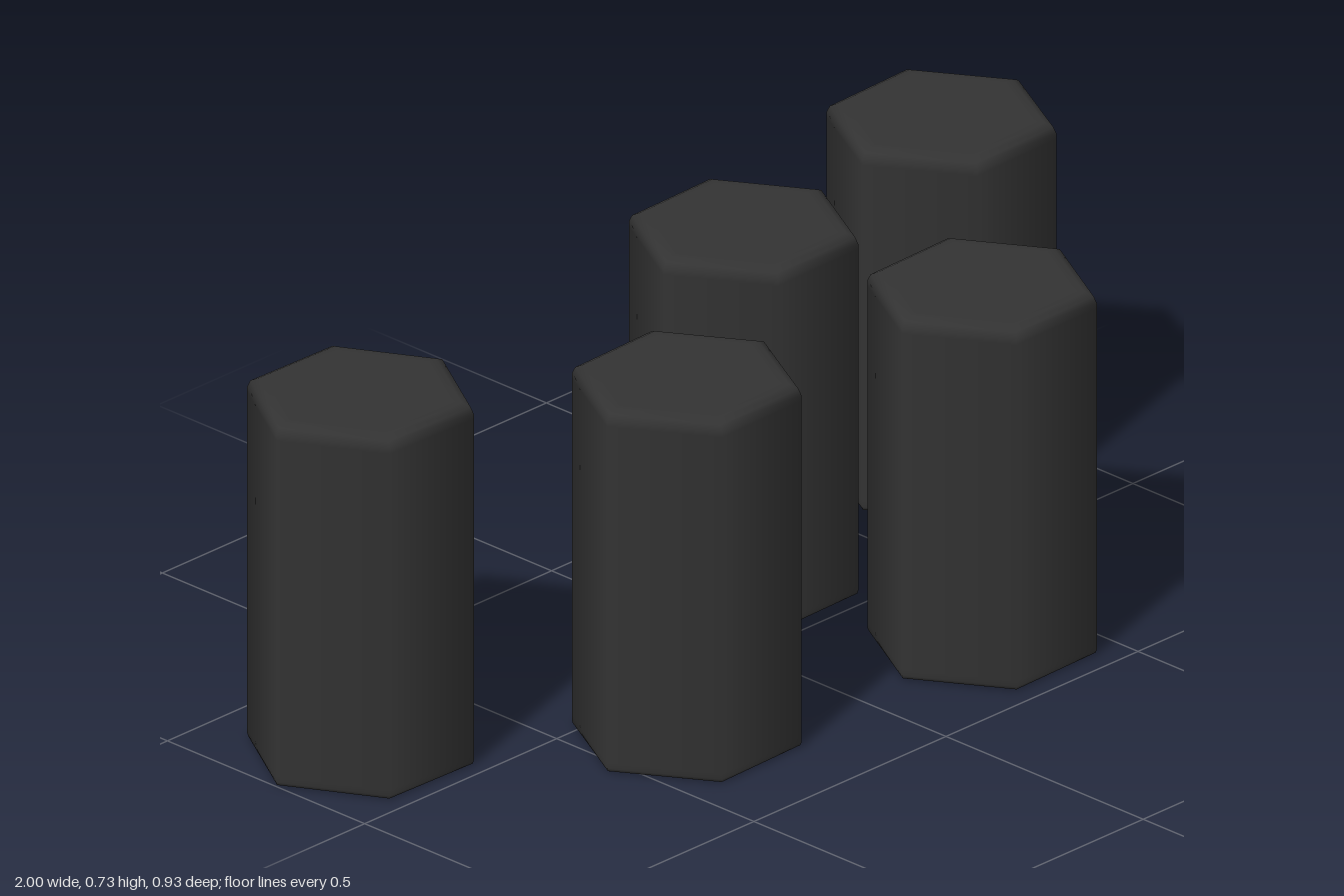
import * as THREE from 'three';

const RADIUS = 0.2137;
const HEIGHT = 0.727;

// x, z and turn of each column
const COLUMNS = [
  { name: 'farRightColumn', x: -0.787, z: -0.218, turn: -0.025 },
  { name: 'rightColumn', x: -0.326, z: 0.16, turn: 0.03 },
  { name: 'backColumn', x: 0.204, z: -0.212, turn: 0.025 },
  { name: 'frontColumn', x: 0.328, z: 0.272, turn: 0.025 },
  { name: 'farLeftColumn', x: 0.786, z: -0.277, turn: 0.035 },
];

// Six-sided column with a fine bottom bevel and a softer top bevel
function columnGeometry() {
  const profile = [
    [0, 0],
    [RADIUS - 0.02, 0],
    [RADIUS - 0.009, 0],
    [RADIUS - 0.002, 0.003],
    [RADIUS, 0.009],
    [RADIUS, 0.02],
    [RADIUS, HEIGHT - 0.03],
    [RADIUS, HEIGHT - 0.02],
    [RADIUS - 0.006, HEIGHT - 0.007],
    [RADIUS - 0.022, HEIGHT],
    [RADIUS - 0.04, HEIGHT],
    [0, HEIGHT],
  ].map(([r, y]) => new THREE.Vector2(r, y));
  // Start at a quarter turn so that two corners lie on the x axis
  return new THREE.LatheGeometry(profile, 6, Math.PI / 2);
}

export function createModel() {
  const model = new THREE.Group();
  model.name = 'hexagonalColumns';
  const geometry = columnGeometry();
  const material = new THREE.MeshStandardMaterial({ color: 0x333333 });

  for (const { name, x, z, turn } of COLUMNS) {
    const column = new THREE.Mesh(geometry, material);
    column.name = name;
    column.position.set(x, 0, z);
    column.rotation.y = turn;
    model.add(column);
  }
  return model;
}
